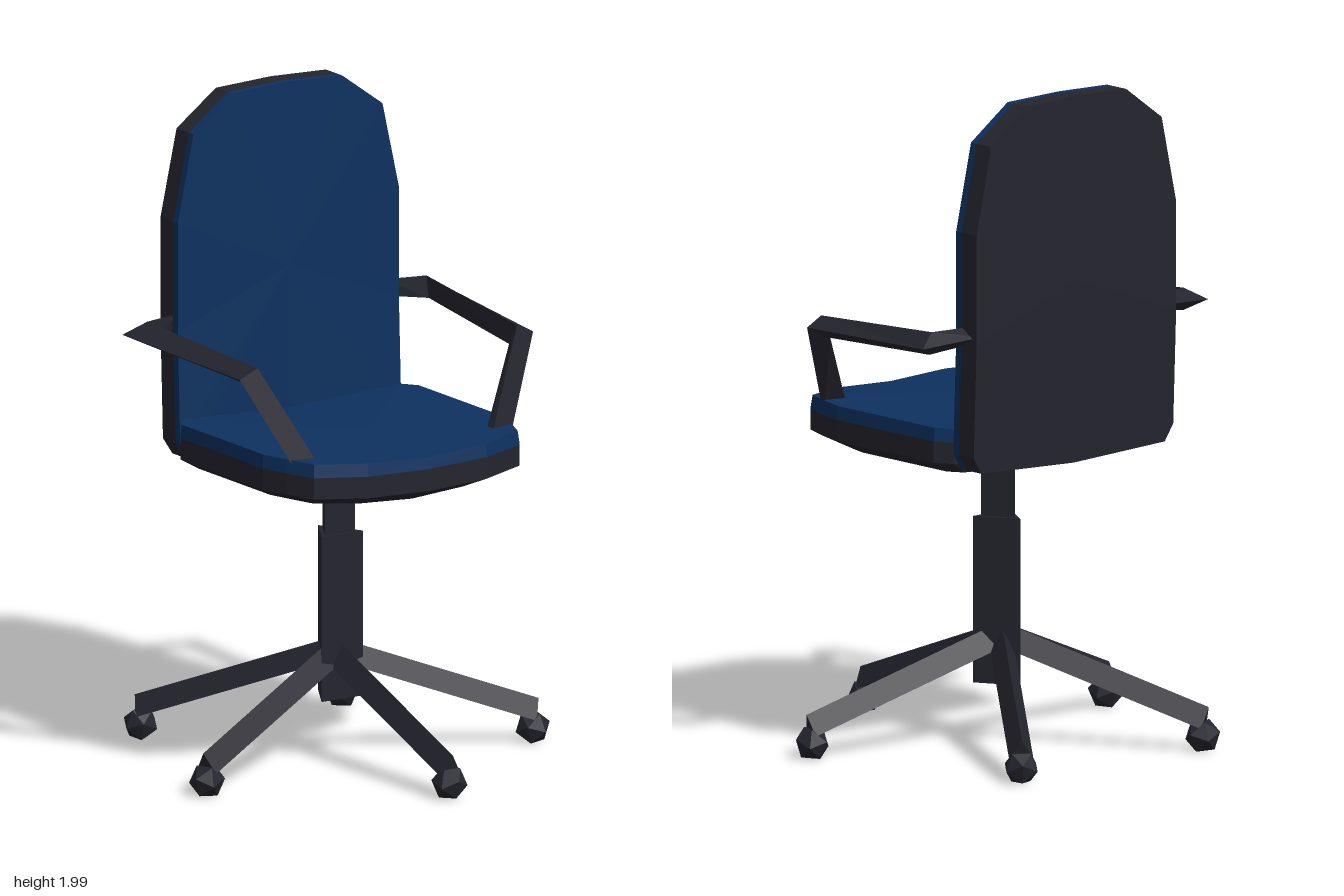
import * as THREE from 'three';

const X0 = -0.005;      // mid line of the chair
const HUB_Z = -0.055;   // column axis

// Closed faceted solid through a list of rings with equal point counts
function loft(rings) {
  const tris = [];
  const n = rings[0].length;
  const mid = (ring) => [0, 1, 2].map((k) => ring.reduce((s, p) => s + p[k], 0) / n);
  const first = rings[0], last = rings[rings.length - 1];
  const c0 = mid(first), c1 = mid(last);
  for (let i = 0; i < n; i++) {
    const j = (i + 1) % n;
    for (let r = 0; r + 1 < rings.length; r++) {
      const a = rings[r], b = rings[r + 1];
      tris.push([a[i], a[j], b[j]], [a[i], b[j], b[i]]);
    }
    tris.push([c0, first[j], first[i]], [c1, last[i], last[j]]);
  }
  // turn the faces outward whatever the ring direction
  const v = tris.map((t) => t.map((p) => new THREE.Vector3(...p)));
  const volume = v.reduce((s, [a, b, c]) => s + a.dot(b.clone().cross(c)), 0);
  if (volume < 0) tris.forEach((t) => t.reverse());
  const geo = new THREE.BufferGeometry();
  geo.setAttribute('position', new THREE.Float32BufferAttribute(tris.flat(2), 3));
  geo.computeVertexNormals();
  return geo;
}

// Mirror a right-hand half outline into a full loop, skipping points on the mid line
function mirrorLoop(half) {
  const other = half.filter((p) => p[0] > 0).reverse().map(([x, y]) => [-x, y]);
  return [...half, ...other];
}

export function createModel() {
  const black = new THREE.MeshStandardMaterial({ color: 0x24242e });
  black.name = 'black plastic';
  const blue = new THREE.MeshStandardMaterial({ color: 0x0d315f });
  blue.name = 'blue fabric';
  const group = new THREE.Group();
  group.name = 'officeChair';
  const add = (name, geo, mat) => {
    const mesh = new THREE.Mesh(geo, mat);
    mesh.name = name;
    group.add(mesh);
    return mesh;
  };

  // Seat: outline in x, z; sides raised a little above the middle
  const seatLoop = mirrorLoop([
    [0, 0.44], [0.21, 0.437], [0.365, 0.38], [0.4, 0.29], [0.425, 0.2],
    [0.425, -0.235], [0.39, -0.285], [0, -0.29],
  ]);
  const seatRing = (y, s, rise) => seatLoop.map(([x, z]) => [
    X0 + x * s, y + rise * Math.min(1, Math.abs(x) / 0.4), (z + 0.285) * s - 0.285 + (1 - s) * 0.12]);
  add('seatShell', loft([seatRing(0.875, 0.86, 0.02), seatRing(0.915, 1, 0.015), seatRing(0.982, 1, 0.012)]), black);
  add('seatCushion', loft([seatRing(0.982, 1, 0.012), seatRing(1.017, 0.99, 0.018)]), blue);

  // Backrest: outline in x, y; bowed backward in the middle, lower end tipped forward
  const backLoop = mirrorLoop([
    [0, 2], [0.195, 1.993], [0.335, 1.89], [0.392, 1.63], [0.392, 1.3],
    [0.392, 0.96], [0.36, 0.91], [0, 0.895],
  ]);
  const backRing = (z, bow) => backLoop.map(([x, y]) => [
    X0 + x, y, z + 0.015 * Math.max(0, (1.3 - y) / 0.4) - bow * (1 - Math.abs(x) / 0.392)]);
  add('backShell', loft([backRing(-0.388, 0.002), backRing(-0.322, 0.01)]), black);
  add('backCushion', loft([backRing(-0.322, 0.01), backRing(-0.297, 0.012)]), blue);

  // Armrests: three-sided bar through four mitred sections (outer, top, bottom corner)
  const armSections = [
    [[0.36, 1.32, -0.375], [0.36, 1.345, -0.33], [0.36, 1.295, -0.335]],
    [[0.56, 1.305, -0.34], [0.495, 1.343, -0.305], [0.5, 1.275, -0.3]],
    [[0.52, 1.28, 0.22], [0.46, 1.308, 0.225], [0.455, 1.245, 0.19]],
    [[0.37, 0.98, 0.315], [0.29, 0.98, 0.33], [0.29, 0.98, 0.295]],
  ];
  for (const side of [1, -1]) {
    const rings = armSections.map((s) => s.map(([x, y, z]) => [X0 + side * x, y, z]));
    add(side > 0 ? 'leftArmrest' : 'rightArmrest', loft(rings), black);
  }

  // Column: two three-sided tubes with a flat side to the front
  const tube = (name, r, y0, y1) => {
    const geo = new THREE.CylinderGeometry(r, r, y1 - y0, 3).toNonIndexed();
    geo.rotateY(Math.PI);
    geo.computeVertexNormals();
    add(name, geo, black).position.set(X0, (y0 + y1) / 2, HUB_Z);
  };
  tube('columnSleeve', 0.085, 0.19, 0.69);
  tube('gasLift', 0.061, 0.69, 0.9);

  // Five sloping legs, ridge upward, each with a faceted caster
  const legSection = (y, z) => [[0, y + 0.035, z], [0.036, y - 0.025, z - 0.015], [-0.036, y - 0.025, z - 0.015]];
  const legGeo = loft([legSection(0.335, 0), legSection(0.105, 0.625)]);
  const casterGeo = new THREE.IcosahedronGeometry(0.054, 0);
  for (let i = 0; i < 5; i++) {
    const star = new THREE.Group();
    star.name = 'leg' + (i + 1);
    const leg = new THREE.Mesh(legGeo, black);
    leg.name = 'legBar';
    const caster = new THREE.Mesh(casterGeo, black);
    caster.name = 'caster';
    caster.position.set(0, 0.054, 0.607);
    caster.rotation.x = 0.3;
    star.add(leg, caster);
    star.position.set(X0, 0, HUB_Z);
    star.rotation.y = (i * Math.PI * 2) / 5;
    group.add(star);
  }
  return group;
}
